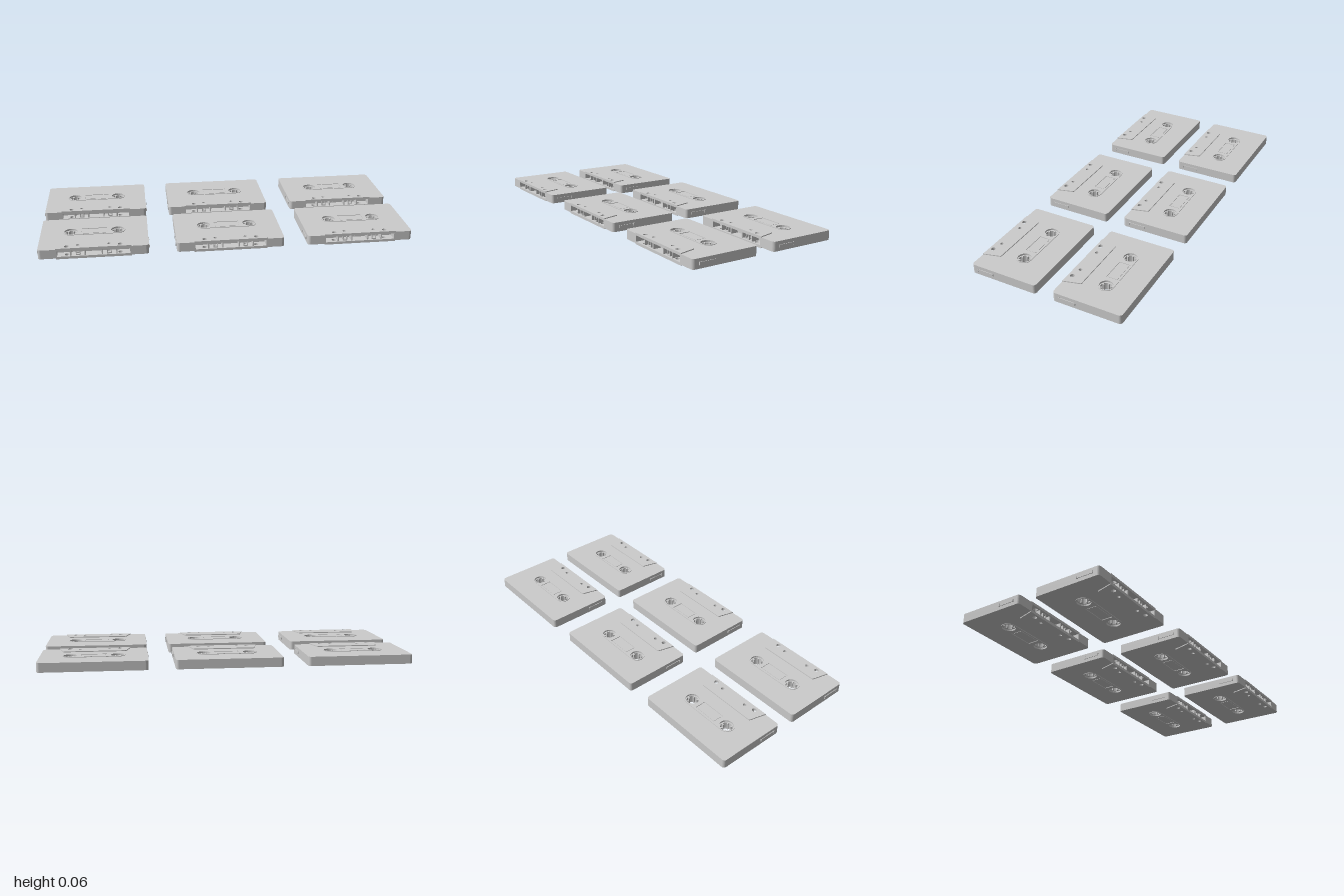
import * as THREE from 'three';

const W = 0.286, D = 0.188;          // half width and half depth of one cassette
const Y0 = 0.005, Y1 = 0.055, H = 0.06; // shell bottom, shell top, full height
const HUB_X = 0.125, HUB_Z = -0.017;
const material = new THREE.MeshStandardMaterial({ color: 0xcccccc });

// Prism from a plan shape drawn in (x, z), between two heights
function slab(name, shape, y0, y1) {
  const g = new THREE.ExtrudeGeometry(shape, { depth: y1 - y0, bevelEnabled: false, curveSegments: 10 });
  g.rotateX(Math.PI / 2).translate(0, y1, 0);
  return named(name, g);
}

function named(name, geometry) {
  const m = new THREE.Mesh(geometry, material);
  m.name = name;
  return m;
}

function box(name, w, h, d, x, y, z) {
  return named(name, new THREE.BoxGeometry(w, h, d).translate(x, y, z));
}

function circle(x, z, r) {
  return new THREE.Path().absarc(x, z, r, 0, Math.PI * 2, true);
}

function rect(x0, z0, x1, z1) {
  return new THREE.Path([[x0, z0], [x0, z1], [x1, z1], [x1, z0]].map(p => new THREE.Vector2(...p)));
}

// Rounded outline, optionally with the tape recess cut into the front
function shellOutline(notch) {
  const r = 0.016, s = new THREE.Shape();
  s.moveTo(-W + r, -D);
  s.lineTo(W - r, -D);
  s.absarc(W - r, -D + r, r, -Math.PI / 2, 0, false);
  s.lineTo(W, D - r);
  s.absarc(W - r, D - r, r, 0, Math.PI / 2, false);
  if (notch) {
    s.lineTo(0.188, D);
    s.lineTo(0.188, 0.138);
    s.lineTo(-0.188, 0.138);
    s.lineTo(-0.188, D);
  }
  s.lineTo(-W + r, D);
  s.absarc(-W + r, D - r, r, Math.PI / 2, Math.PI, false);
  s.lineTo(-W, -D + r);
  s.absarc(-W + r, -D + r, r, Math.PI, Math.PI * 1.5, false);
  return s;
}

const hubHoles = r => [-1, 1].map(s => circle(s * HUB_X, HUB_Z, r));
const guideHoles = () => [-1, 1].flatMap(s => [circle(s * 0.138, 0.165, 0.012), circle(s * 0.08, 0.154, 0.009)]);

// Toothed drive ring
function hubShape() {
  const s = new THREE.Shape().absarc(0, 0, 0.0385, 0, Math.PI * 2, false);
  const inner = [], n = 6, rIn = 0.021, rOut = 0.031;
  for (let i = 0; i < n; i++) {
    const a = i / n * Math.PI * 2;
    for (const [da, r] of [[-0.13, rOut], [-0.15, rIn], [0.15, rIn], [0.13, rOut], [0.38, rOut], [0.66, rOut]])
      inner.push(new THREE.Vector2(Math.cos(a + da) * r, Math.sin(a + da) * r));
  }
  s.holes.push(new THREE.Path(inner.reverse()));
  return s;
}

// Raised pill around both hubs and the window
function panelShape() {
  const r = 0.041, s = new THREE.Shape();
  s.absarc(HUB_X, HUB_Z, r, -Math.PI / 2, Math.PI / 2, false);
  s.absarc(-HUB_X, HUB_Z, r, Math.PI / 2, Math.PI * 1.5, false);
  s.holes.push(...hubHoles(0.036), rect(-0.068, HUB_Z - 0.032, 0.068, HUB_Z + 0.032));
  return s;
}

function trapezoidShape() {
  const s = new THREE.Shape();
  s.moveTo(-0.195, D);
  s.lineTo(-0.172, 0.1);
  s.quadraticCurveTo(-0.17, 0.095, -0.164, 0.095);
  s.lineTo(0.164, 0.095);
  s.quadraticCurveTo(0.17, 0.095, 0.172, 0.1);
  s.lineTo(0.195, D);
  s.holes.push(...guideHoles());
  return s;
}

function createCassette() {
  const c = new THREE.Group();

  // Shell: two plates with a notched core between them
  const plate = shellOutline(false);
  plate.holes.push(...hubHoles(0.037), ...guideHoles());
  const core = shellOutline(true);
  core.holes.push(...hubHoles(0.037));
  c.add(slab('bottomPlate', plate, Y0, 0.014), slab('shellCore', core, 0.014, 0.046), slab('topPlate', plate, 0.046, Y1));

  // Raised details on both faces
  for (const [side, a, b] of [['top', Y1, 1], ['bottom', Y0, -1]]) {
    const layer = (name, shape, t) => slab(side + name, shape, Math.min(a, a + b * t), Math.max(a, a + b * t));
    c.add(layer('HeadCover', trapezoidShape(), H - Y1));
    c.add(layer('HubPanel', panelShape(), 0.003));
    c.add(box(side + 'Window', 0.124, 0.002, 0.052, 0, a + b * 0.001, HUB_Z));
  }

  // Drive hubs
  for (const s of [-1, 1]) {
    const hub = slab('driveHub', hubShape(), 0.012, 0.048);
    hub.position.set(s * HUB_X, 0, HUB_Z);
    c.add(hub);
  }

  // Front recess: dividers, square guide posts, tape and pressure pad
  for (const s of [-1, 1]) {
    c.add(box('recessDivider', 0.006, 0.032, 0.045, s * 0.044, 0.03, 0.16));
    c.add(box('recessDivider', 0.006, 0.032, 0.045, s * 0.119, 0.03, 0.16));
    const post = new THREE.Shape([[-0.012, -0.016], [0.012, -0.016], [0.012, 0.016], [-0.012, 0.016]].map(p => new THREE.Vector2(...p)));
    post.holes.push(rect(-0.008, -0.01, 0.008, 0.01));
    const frame = named('guidePost', new THREE.ExtrudeGeometry(post, { depth: 0.012, bevelEnabled: false }));
    frame.position.set(s * 0.08, 0.03, 0.166);
    c.add(frame);
  }
  c.add(box('tape', 0.37, 0.02, 0.002, 0, 0.03, 0.141));
  c.add(box('pressurePad', 0.036, 0.014, 0.012, 0, 0.03, 0.147));

  // Side grips: thin bar with a block at each end
  for (const s of [-1, 1]) {
    c.add(box('sideGrip', 0.006, 0.012, 0.09, s * W, 0.0305, 0.106));
    for (const z of [0.062, 0.15]) c.add(box('sideGripEnd', 0.01, 0.015, 0.005, s * W, 0.0305, z));
  }
  return c;
}

export function createModel() {
  const model = new THREE.Group();
  model.name = 'cassettes';
  const cassette = createCassette();

  // Two rows of three, the middle ones slightly off line
  for (const [row, z, middle] of [['back', -0.237, -0.005], ['front', 0.238, 0.009]])
    [-0.709, middle, 0.709].forEach((x, i) => {
      const copy = cassette.clone();
      copy.name = row + ['Right', 'Middle', 'Left'][i] + 'Cassette';
      copy.position.set(x, 0, z);
      model.add(copy);
    });
  return model;
}
